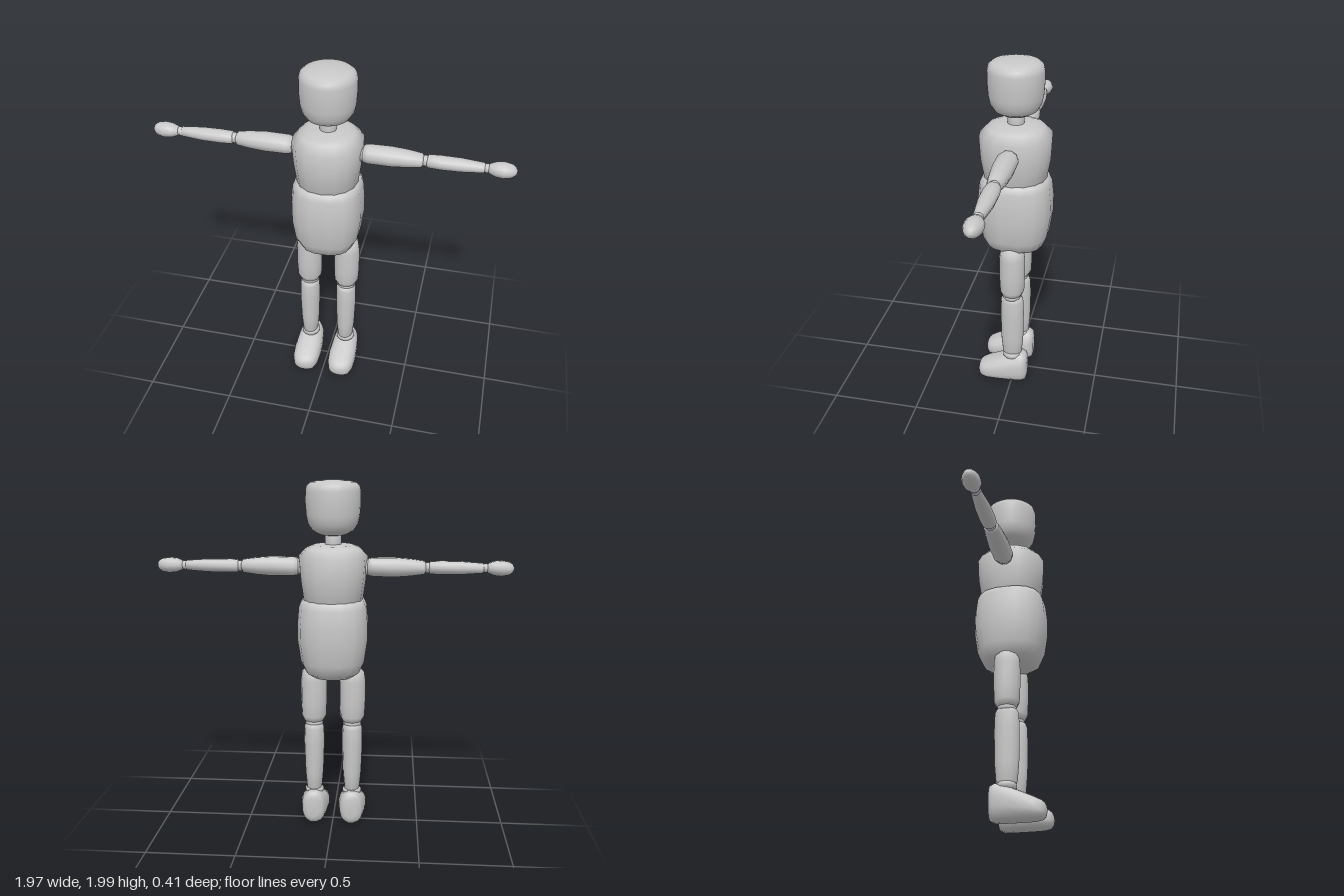
import * as THREE from 'three';

// Smooth closed loft along +y. Each section: [y, rx, rz, cz]; power > 2 squares off the outline.
function loft(sections, sides, power = 2, turn = 0) {
  const pos = [], idx = [];
  const bend = (v) => Math.sign(v) * Math.pow(Math.abs(v), 2 / power);
  for (const [y, rx, rz, cz = 0] of sections) {
    for (let i = 0; i < sides; i++) {
      const a = ((i + turn) / sides) * Math.PI * 2;
      pos.push(bend(Math.sin(a)) * rx, y, cz + bend(Math.cos(a)) * rz);
    }
  }
  for (let s = 0; s < sections.length - 1; s++) {
    for (let i = 0; i < sides; i++) {
      const a = s * sides + i, b = s * sides + ((i + 1) % sides);
      idx.push(a, b, b + sides, a, b + sides, a + sides);
    }
  }
  // End caps
  const ends = [sections[0], sections[sections.length - 1]];
  ends.forEach(([y, , , cz = 0], e) => {
    const centre = pos.length / 3, base = e ? (sections.length - 1) * sides : 0;
    pos.push(0, y, cz);
    for (let i = 0; i < sides; i++) {
      const a = base + i, b = base + ((i + 1) % sides);
      if (e) idx.push(centre, a, b);
      else idx.push(centre, b, a);
    }
  });
  const g = new THREE.BufferGeometry();
  g.setAttribute('position', new THREE.Float32BufferAttribute(pos, 3));
  g.setIndex(idx);
  g.computeVertexNormals();
  return g;
}

export function createModel() {
  const model = new THREE.Group();
  model.name = 'mannequin';
  const grey = new THREE.MeshStandardMaterial({ color: 0xc8c8c8 });
  grey.name = 'light grey';

  const add = (name, geometry, parent = model) => {
    const mesh = new THREE.Mesh(geometry, grey);
    mesh.name = name;
    parent.add(mesh);
    return mesh;
  };
  const round = (rows) => rows.map(([y, r]) => [y, r, r]);

  // Head and neck
  add('head', loft(round([
    [1.70, 0.03], [1.707, 0.075], [1.73, 0.115], [1.765, 0.137], [1.81, 0.147], [1.88, 0.152],
    [1.94, 0.151], [1.968, 0.145], [1.985, 0.125], [1.995, 0.085], [2.0, 0.03],
  ]), 28));
  add('neck', loft(round([[1.6, 0.045], [1.72, 0.045]]), 16));

  // Torso
  add('chest', loft([
    [1.31, 0.14, 0.14], [1.35, 0.167, 0.173], [1.46, 0.182, 0.192], [1.59, 0.192, 0.198],
    [1.635, 0.15, 0.155], [1.65, 0.11, 0.115], [1.655, 0.03, 0.03],
  ], 16, 2.25));
  add('belly', loft([
    [0.89, 0.05, 0.05], [0.905, 0.105, 0.11], [0.935, 0.15, 0.16], [1.0, 0.181, 0.188],
    [1.12, 0.198, 0.206], [1.22, 0.198, 0.207], [1.31, 0.19, 0.197], [1.345, 0.176, 0.182],
    [1.358, 0.15, 0.155],
  ], 16, 2.6, 0.5));

  for (const [side, s] of [['left', 1], ['right', -1]]) {
    // Arm, lofted along its length and laid out sideways
    const arm = new THREE.Group();
    arm.name = side + 'Arm';
    arm.position.y = 1.53;
    arm.rotation.z = -s * Math.PI / 2;
    model.add(arm);
    add('shoulder', loft(round([[0.15, 0.03], [0.17, 0.045], [0.2, 0.045], [0.22, 0.03]]), 10), arm);
    add('upperArm', loft([
      [0.183, 0.03, 0.03], [0.195, 0.047, 0.052], [0.22, 0.053, 0.06], [0.34, 0.055, 0.06],
      [0.43, 0.048, 0.053], [0.5, 0.038, 0.043], [0.51, 0.025, 0.028],
    ], 10), arm);
    add('elbow', loft(round([[0.495, 0.02], [0.51, 0.03], [0.53, 0.03], [0.545, 0.02]]), 10), arm);
    add('forearm', loft([
      [0.523, 0.022, 0.025], [0.535, 0.036, 0.04], [0.6, 0.038, 0.045], [0.7, 0.037, 0.043],
      [0.82, 0.028, 0.029], [0.828, 0.016, 0.017],
    ], 10), arm);
    add('wrist', loft(round([[0.815, 0.018], [0.825, 0.025], [0.84, 0.025], [0.855, 0.018]]), 10), arm);
    add('hand', loft([
      [0.836, 0.018, 0.018], [0.85, 0.028, 0.03], [0.88, 0.04, 0.045], [0.92, 0.044, 0.05],
      [0.96, 0.037, 0.038], [0.98, 0.023, 0.022], [0.987, 0.008, 0.008],
    ], 10), arm);

    // Leg
    const leg = new THREE.Group();
    leg.name = side + 'Leg';
    leg.position.x = s * 0.111;
    model.add(leg);
    add('thigh', loft(round([
      [0.627, 0.04], [0.635, 0.057], [0.665, 0.071], [0.75, 0.075], [0.88, 0.075], [0.93, 0.067], [0.96, 0.035],
    ]), 12), leg);
    add('knee', loft(round([[0.6, 0.035], [0.61, 0.052], [0.63, 0.052], [0.645, 0.035]]), 12), leg);
    add('shin', loft([
      [0.208, 0.03, 0.04], [0.218, 0.045, 0.058], [0.32, 0.054, 0.067], [0.5, 0.06, 0.07],
      [0.59, 0.058, 0.067], [0.615, 0.05, 0.056], [0.62, 0.03, 0.035],
    ], 12), leg);
    add('ankle', loft(round([[0.17, 0.04], [0.19, 0.055], [0.208, 0.055], [0.222, 0.04]]), 12), leg);

    // Foot, lofted from heel to toe: [z, half width, half height, -centre height]
    const foot = loft([
      [-0.092, 0.03, 0.06, -0.11], [-0.084, 0.055, 0.093, -0.112], [-0.06, 0.069, 0.103, -0.112],
      [0.0, 0.079, 0.095, -0.104], [0.08, 0.083, 0.078, -0.088], [0.15, 0.078, 0.061, -0.073],
      [0.185, 0.064, 0.049, -0.067], [0.2, 0.045, 0.036, -0.067], [0.207, 0.02, 0.018, -0.067],
    ], 16, 2.5, 0.5);
    foot.rotateX(Math.PI / 2);
    add('foot', foot, leg);
  }
  return model;
}
